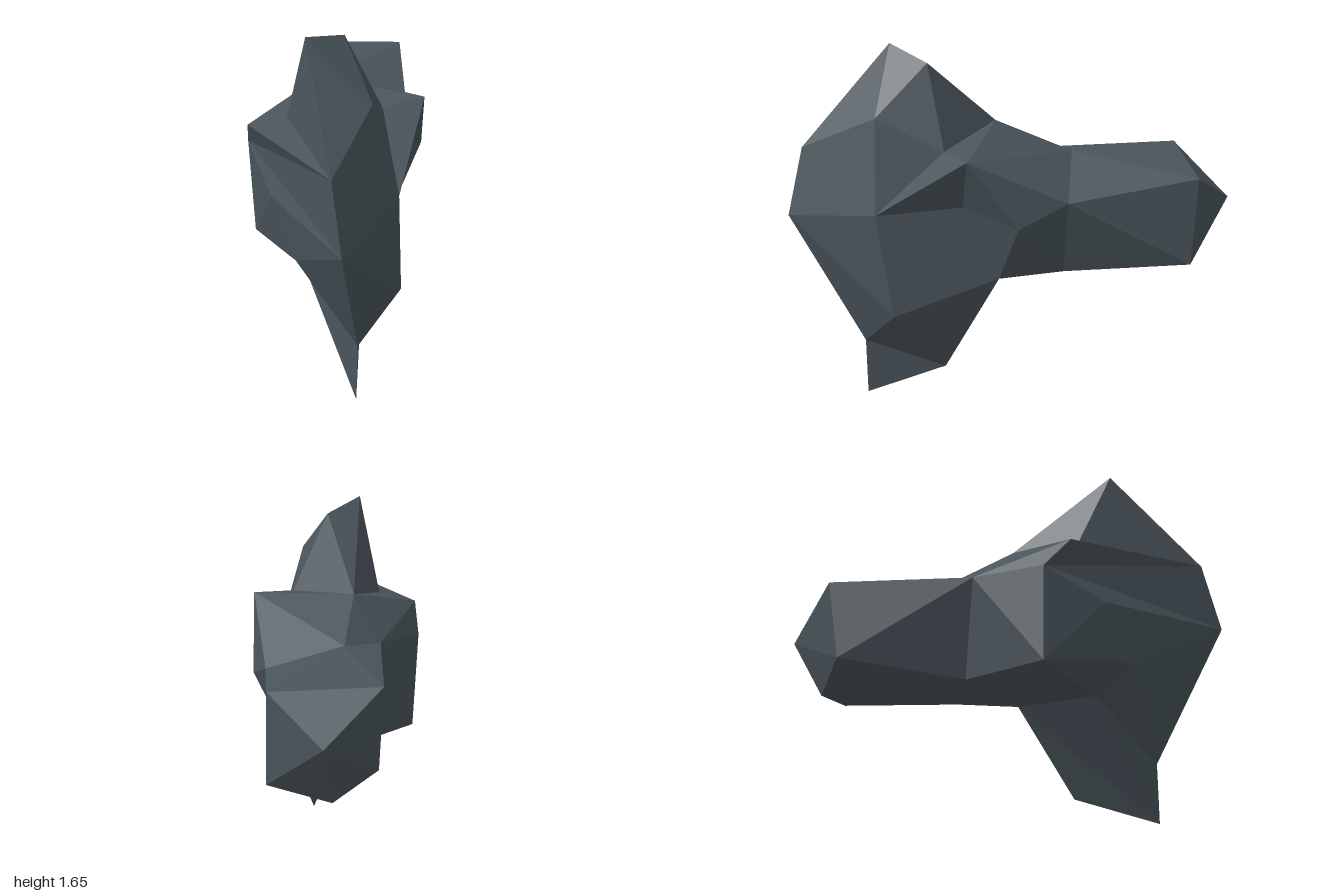
import * as THREE from 'three';

// Corner points of the faceted rock, grouped by region
const crest = {
  peak: [-0.08, 1.65, 0.54], peakBack: [0.055, 1.6, 0.36], cheek: [0.2, 1.39, 0.58],
  brow: [0.08, 1.21, 0.93], notchR: [0.21, 1.245, 0.28], notchL: [-0.19, 1.22, 0.38],
  nape: [-0.095, 1.29, 0.07],
};
const body = {
  nose: [0.13, 0.9, 1.0], flank: [0.315, 0.98, 0.58], shoulderR: [0.38, 1.26, 0.17],
  dent: [0.25, 1.0, 0.2], elbow: [0.355, 0.94, -0.05], hip: [0.24, 0.65, 0.04],
  shoulderL: [-0.36, 1.18, 0.39], sideL: [-0.385, 1.05, 0.27], lowL: [-0.365, 0.6, 0.26],
  frontL: [-0.24, 0.91, 0.52], chin: [-0.12, 0.66, 0.62], thigh: [0.325, 0.49, 0.51],
};
const spike = {
  rootL: [-0.11, 0.52, 0.44], rootBack: [-0.04, 0.53, 0.08], heel: [0.12, 0.13, 0.3],
  toe: [0.155, 0.28, 0.67], tip: [0.15, 0, 0.67],
};
const arm = {
  neckR: [0.265, 1.03, -0.265], neckBaseR: [0.15, 0.65, -0.25], neckBaseL: [-0.1, 0.66, -0.15],
  neckL: [-0.23, 1.11, -0.09], neckTop: [-0.085, 1.15, -0.28],
  endR: [0.175, 1.12, -0.84], endBaseR: [0.185, 0.71, -0.82], endBase: [-0.09, 0.65, -0.84],
  endBaseL: [-0.27, 0.75, -0.71], endL: [-0.29, 1.13, -0.76], end: [-0.07, 0.94, -1.0],
};
const P = { ...crest, ...body, ...spike, ...arm };

// Triangles from a centre corner to each pair of neighbours along a rim
function fan(centre, rim) {
  const names = rim.split(' ');
  const tris = [];
  for (let i = 0; i + 1 < names.length; i++) tris.push([centre, names[i], names[i + 1]]);
  return tris;
}

// Band of triangles between two closed rings of equal length
function loft(outer, inner) {
  const a = outer.split(' '), b = inner.split(' ');
  const tris = [];
  a.forEach((name, i) => {
    const j = (i + 1) % a.length;
    tris.push([name, b[i], a[j]], [a[j], b[i], b[j]]);
  });
  return tris;
}

export function createModel() {
  const stone = new THREE.MeshStandardMaterial({ color: 0x4a555c, flatShading: true });
  stone.name = 'slateStone';
  const group = new THREE.Group();
  group.name = 'rock';

  function addPart(name, ...patches) {
    const points = patches.flat(2).flatMap((key) => P[key]);
    const geometry = new THREE.BufferGeometry();
    geometry.setAttribute('position', new THREE.Float32BufferAttribute(points, 3));
    geometry.computeVertexNormals();
    const mesh = new THREE.Mesh(geometry, stone);
    mesh.name = name;
    group.add(mesh);
  }

  // Raised crest on top
  addPart('crest',
    fan('nape', 'neckL shoulderL notchL peak peakBack notchR shoulderR neckTop neckL'),
    fan('brow', 'cheek peak notchL shoulderL sideL nose cheek'),
    fan('peakBack', 'peak cheek notchR'));

  // Right side of the main mass
  addPart('rightFlank',
    fan('flank', 'dent shoulderR notchR cheek nose thigh hip dent'),
    fan('elbow', 'shoulderR dent hip neckBaseR neckR shoulderR'),
    fan('shoulderR', 'neckR neckTop'));

  // Left side and front of the main mass
  addPart('leftFlank',
    fan('lowL', 'sideL neckL neckBaseL rootBack rootL chin frontL sideL'),
    fan('neckL', 'sideL shoulderL'),
    fan('nose', 'sideL frontL chin toe thigh'),
    fan('chin', 'rootL toe'));

  // Pointed foot underneath
  addPart('lowerSpike',
    fan('tip', 'rootL rootBack heel toe rootL'),
    fan('heel', 'rootBack hip thigh toe'),
    fan('rootBack', 'neckBaseL neckBaseR hip'));

  // Five-sided arm reaching back, closed by a blunt point
  addPart('rearArm',
    loft('endR endBaseR endBase endBaseL endL', 'neckR neckBaseR neckBaseL neckL neckTop'),
    fan('end', 'endR endBaseR endBase endBaseL endL endR'));

  return group;
}
